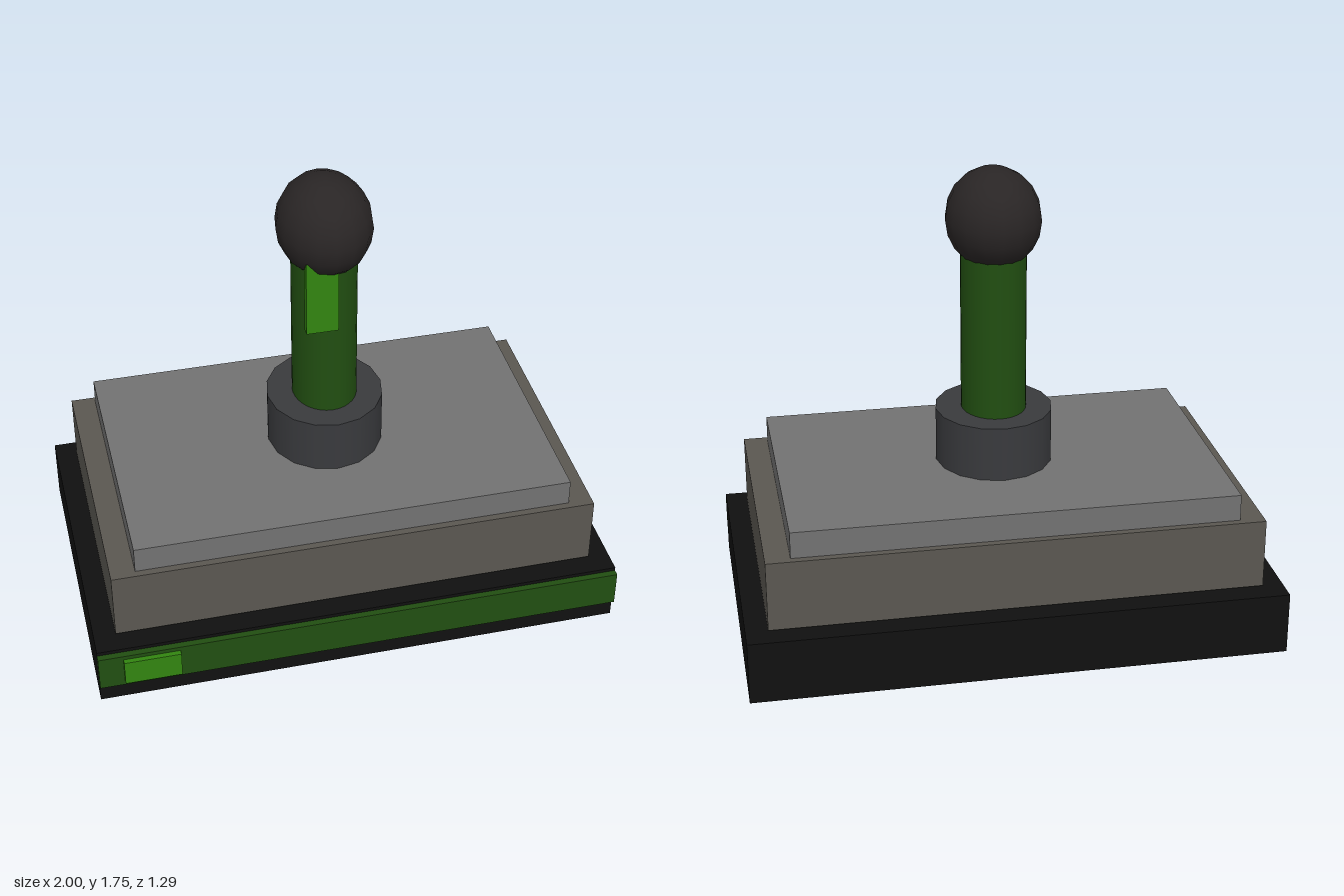
import * as THREE from 'three';
import { toCreasedNormals } from 'three/addons/utils/BufferGeometryUtils.js';

export function createModel() {
  const model = new THREE.Group();
  model.name = 'joystick';

  const mat = (color) => new THREE.MeshStandardMaterial({ color });
  const black = mat(0x101010);
  const darkGreen = mat(0x214e11);
  const brightGreen = mat(0x328510);
  const warmGrey = mat(0x5a5751);
  const plateGrey = mat(0x727272);
  const collarGrey = mat(0x393a3d);
  const ballBlack = mat(0x292525);

  const add = (name, geometry, material) => {
    const mesh = new THREE.Mesh(geometry, material);
    mesh.name = name;
    model.add(mesh);
    return mesh;
  };

  // Box given by its extents on each axis
  const box = (name, [x0, x1], [y0, y1], [z0, z1], material) =>
    add(name, new THREE.BoxGeometry(x1 - x0, y1 - y0, z1 - z0), material)
      .position.set((x0 + x1) / 2, (y0 + y1) / 2, (z0 + z1) / 2);

  // Upright cylinder with an oval footprint around the stick axis
  const axisZ = -0.022;
  const oval = (name, rx, rz, y0, y1, sides, material) => {
    const geometry = new THREE.CylinderGeometry(1, 1, y1 - y0, sides);
    geometry.scale(rx, 1, rz);
    add(name, geometry, material).position.set(0, (y0 + y1) / 2, axisZ);
  };

  // Stepped base
  box('base', [-1, 1], [0, 0.238], [-0.645, 0.6], black);
  box('housing', [-0.918, 0.918], [0.246, 0.512], [-0.57, 0.523], warmGrey);
  box('topPlate', [-0.826, 0.826], [0.512, 0.613], [-0.543, 0.496], plateGrey);

  // Front strip with its small button
  box('frontStrip', [-1, 1], [0.082, 0.224], [0.6, 0.625], darkGreen);
  box('frontButton', [-0.907, -0.695], [0.105, 0.208], [0.615, 0.645], brightGreen);

  // Stick
  oval('collar', 0.221, 0.237, 0.613, 0.821, 16, collarGrey);
  oval('shaft', 0.122, 0.143, 0.821, 1.46, 32, darkGreen);
  box('trigger', [-0.101, 0.019], [1.19, 1.49], [0.095, 0.129], brightGreen);

  // Ball knob
  const ball = new THREE.SphereGeometry(1, 16, 10);
  ball.scale(0.178, 0.19, 0.207);
  add('ballKnob', toCreasedNormals(ball, Math.PI / 3), ballBlack)
    .position.set(0, 1.56, axisZ);

  return model;
}
